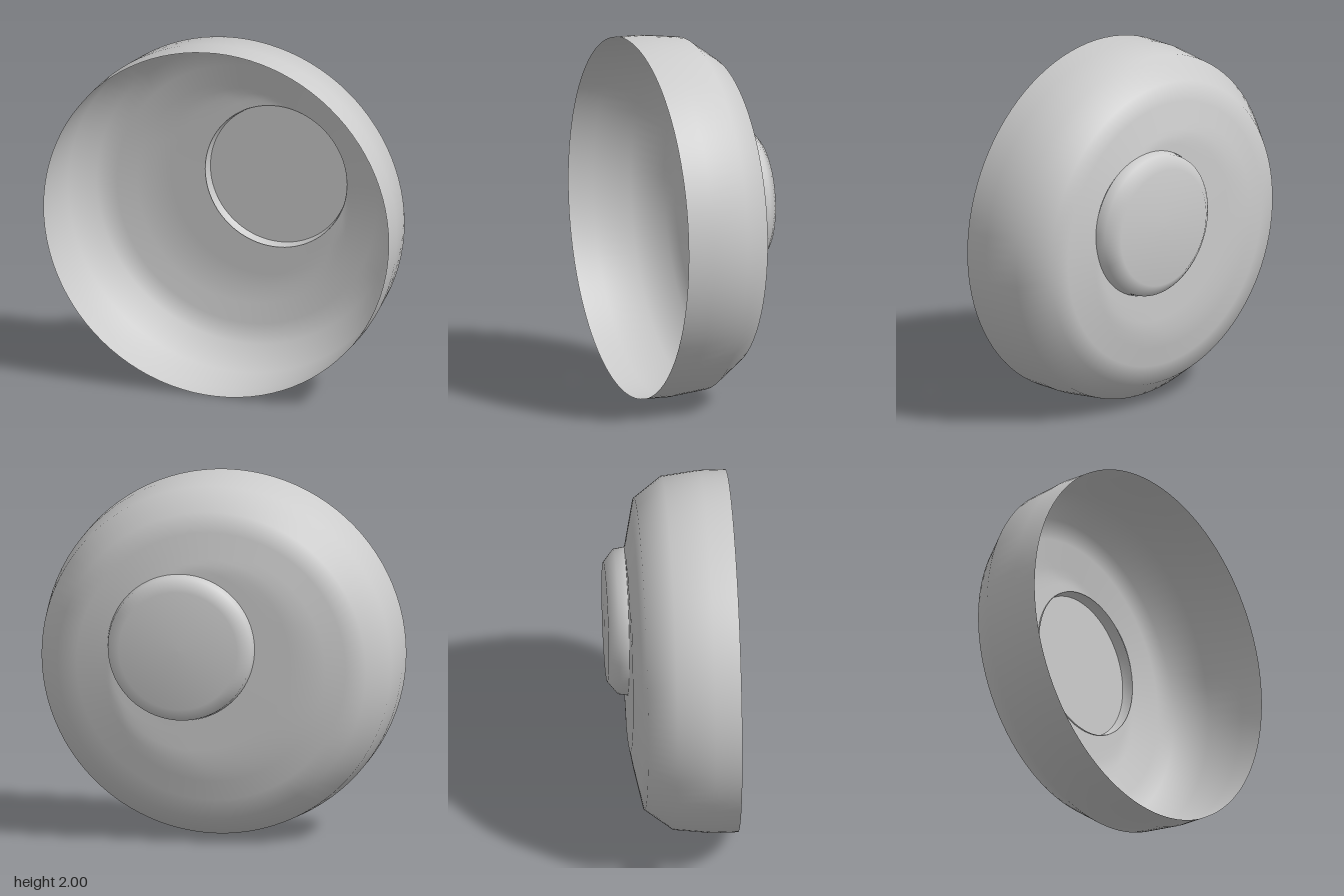
import * as THREE from 'three';

const SEG = 96;
const HOLE = { x: 0.16, y: 0.11, r: 0.41 };

// depth of the shallow bowl back at a given distance from its axis
function backDepth(r) {
  return r < 0.56 ? -0.235 + (r / 0.56) * 0.005 : -0.23 + ((r - 0.56) / 0.3) * 0.065;
}

// bowl shell: rings spread from the off-centre hole out to the open rim
function bowlGeometry() {
  const rings = [];
  const ring = (fn) => rings.push(Array.from({ length: SEG }, (_, j) => {
    const a = (j / SEG) * Math.PI * 2;
    return fn(Math.cos(a), Math.sin(a));
  }));
  for (let i = 0; i <= 4; i++) {
    const t = i / 4;
    ring((c, s) => {
      const x = THREE.MathUtils.lerp(HOLE.x + HOLE.r * c, 0.64 * c, t);
      const y = THREE.MathUtils.lerp(HOLE.y + HOLE.r * s, 0.64 * s, t);
      return [x, y, backDepth(Math.hypot(x, y))];
    });
  }
  const profile = [[0.75, backDepth(0.75)], [0.86, -0.165], [0.975, -0.01], [1, 0.2], [1, 0.345]];
  for (const [r, z] of profile) ring((c, s) => [r * c, r * s, z]);

  const index = [];
  for (let i = 0; i < rings.length - 1; i++) {
    for (let j = 0; j < SEG; j++) {
      const k = (j + 1) % SEG;
      const a = i * SEG + j, b = i * SEG + k, c = a + SEG, d = b + SEG;
      index.push(a, b, c, b, d, c);
    }
  }
  const geo = new THREE.BufferGeometry();
  geo.setAttribute('position', new THREE.Float32BufferAttribute(rings.flat(2), 3));
  geo.setIndex(index);
  geo.computeVertexNormals();
  return geo;
}

export function createModel() {
  const group = new THREE.Group();
  const grey = new THREE.MeshStandardMaterial({ color: 0xcccccc, side: THREE.DoubleSide });
  grey.name = 'lightGrey';

  const add = (name, geo, x, y, z) => {
    const mesh = new THREE.Mesh(geo, grey);
    mesh.name = name;
    mesh.position.set(x, y, z);
    group.add(mesh);
  };

  add('bowlShell', bowlGeometry(), 0, 1, 0);

  // rounded knob closing the hole from behind
  const knob = [[0.41, 0.222], [0.40, 0.285], [0.33, 0.342], [0, 0.345]]
    .map(([r, h]) => new THREE.Vector2(r, h));
  add('backKnob', new THREE.LatheGeometry(knob, SEG).rotateX(-Math.PI / 2), HOLE.x, 1 + HOLE.y, 0);

  // flat floor of the recess inside the bowl
  add('recessFloor', new THREE.CircleGeometry(0.4, SEG), HOLE.x, 1 + HOLE.y, -0.283);

  return group;
}
